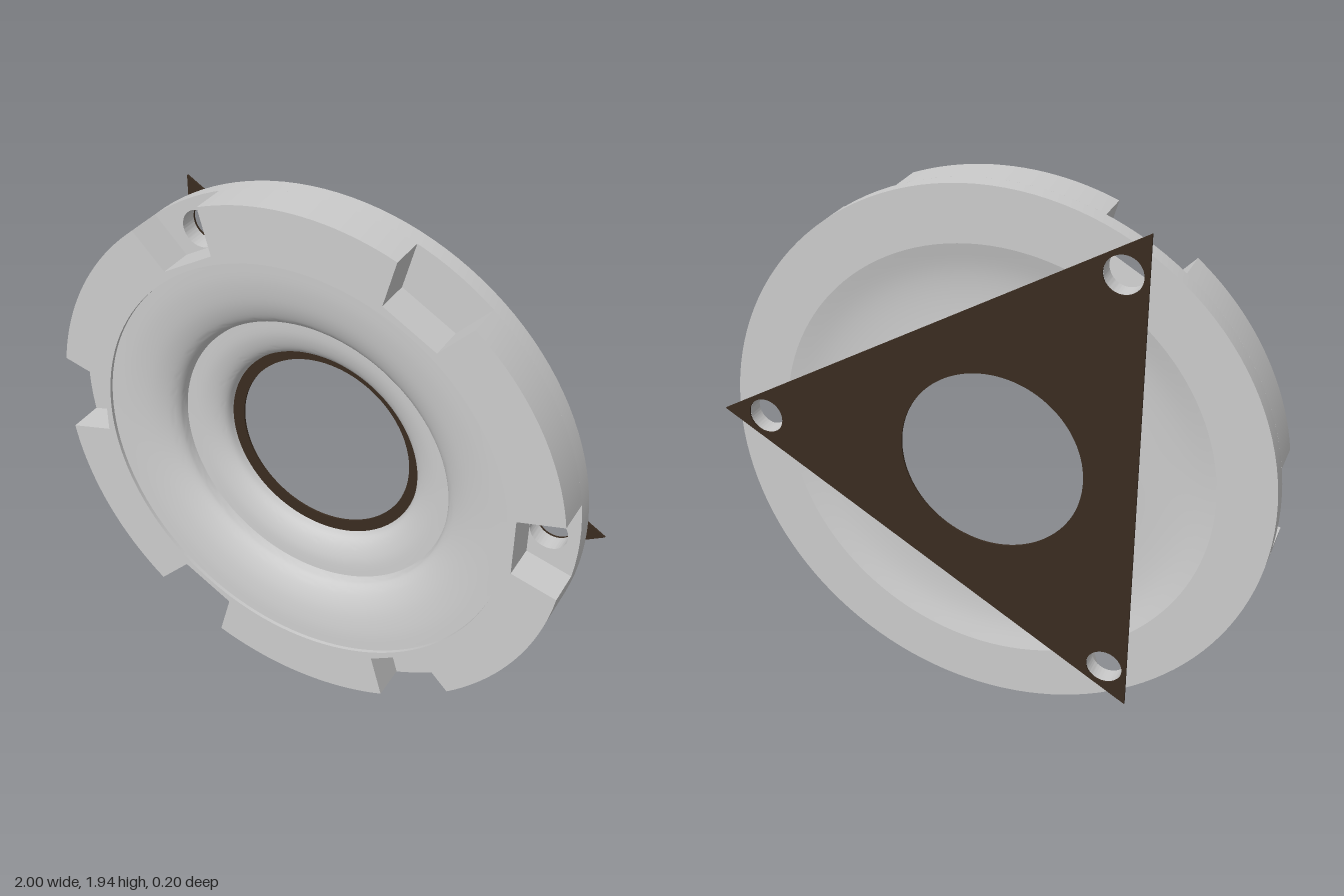
import * as THREE from 'three';
import { toCreasedNormals } from 'three/addons/utils/BufferGeometryUtils.js';

const OUTER = 0.97, INNER = 0.775, BORE = 0.37;
const BACK = -0.092, FLOOR = -0.03, FRONT = 0.1;
const BOLT_RADIUS = 0.864, BOLT_HOLE = 0.066;

const polar = (r, a) => new THREE.Vector2(r * Math.cos(a), r * Math.sin(a));

function circleHole(x, y, r) {
  return new THREE.Path().absarc(x, y, r, 0, Math.PI * 2, true);
}

// Three bolt holes, evenly spaced
function addBoltHoles(shape) {
  for (let i = 0; i < 3; i++) {
    const c = polar(BOLT_RADIUS, i * Math.PI * 2 / 3);
    shape.holes.push(circleHole(c.x, c.y, BOLT_HOLE));
  }
}

function slab(shape, z0, z1, curveSegments = 64) {
  const geo = new THREE.ExtrudeGeometry(shape, { depth: z1 - z0, bevelEnabled: false, curveSegments });
  geo.translate(0, 0, z0);
  return toCreasedNormals(geo, 0.4);
}

// Outline of the rim's front half: a circle with six flared notches
function notchedOutline() {
  const pts = [], step = Math.PI / 3, steps = 20;
  const centre = new THREE.Vector2();
  const half = Math.asin(0.15 / OUTER);
  for (let k = 0; k < 6; k++) {
    const a = k * step;
    for (const y of [-0.108, 0.108]) {
      pts.push(new THREE.Vector2(0.797, y).rotateAround(centre, a));
    }
    for (let i = 0; i <= steps; i++) {
      pts.push(polar(OUTER, a + half + (step - 2 * half) * i / steps));
    }
  }
  return new THREE.Shape(pts);
}

export function createModel() {
  const group = new THREE.Group();
  const grey = new THREE.MeshStandardMaterial({ color: 0xcccccc });
  const brown = new THREE.MeshStandardMaterial({ color: 0x3a2c20 });
  const add = (name, geo, mat) => {
    const mesh = new THREE.Mesh(geo, mat);
    mesh.name = name;
    group.add(mesh);
  };

  // Rim: solid flange at the back, notched ring at the front
  const flange = new THREE.Shape().absarc(0, 0, OUTER, 0, Math.PI * 2, false);
  flange.holes.push(circleHole(0, 0, INNER));
  addBoltHoles(flange);
  add('rimFlange', slab(flange, BACK, FLOOR), grey);

  const ring = notchedOutline();
  ring.holes.push(circleHole(0, 0, INNER));
  add('notchedRim', slab(ring, FLOOR, FRONT), grey);

  // Flared throat: outer horn, rounded inner lip, bore and shallow back dish
  const horn = new THREE.SplineCurve([
    [INNER, 0.087], [0.7, 0.083], [0.62, 0.069], [0.56, 0.045], [0.53, 0.018], [0.52, -0.015],
  ].map(p => new THREE.Vector2(...p))).getPoints(20);
  const lip = new THREE.SplineCurve([
    [0.52, -0.015], [0.46, -0.019], [0.41, -0.034], [0.38, -0.056], [BORE, -0.085],
  ].map(p => new THREE.Vector2(...p))).getPoints(16).slice(1);
  const dish = new THREE.SplineCurve([
    [BORE, -0.085], [0.46, -0.066], [0.58, -0.062], [0.68, -0.07], [INNER, BACK],
  ].map(p => new THREE.Vector2(...p))).getPoints(16).slice(1);
  const throat = new THREE.LatheGeometry([...horn, ...lip, ...dish], 128);
  throat.rotateX(Math.PI / 2);
  add('flaredThroat', toCreasedNormals(throat, 0.5), grey);

  // Thin triangular mounting plate on the back
  const plate = new THREE.Shape([0, 1, 2].map(i => polar(1.03, i * Math.PI * 2 / 3)));
  plate.holes.push(circleHole(0, 0, 0.33));
  addBoltHoles(plate);
  add('mountingPlate', slab(plate, -0.1, BACK - 0.001, 48), brown);

  group.position.set(-0.03, OUTER, 0);
  const model = new THREE.Group();
  model.name = 'flangedRing';
  model.add(group);
  return model;
}
